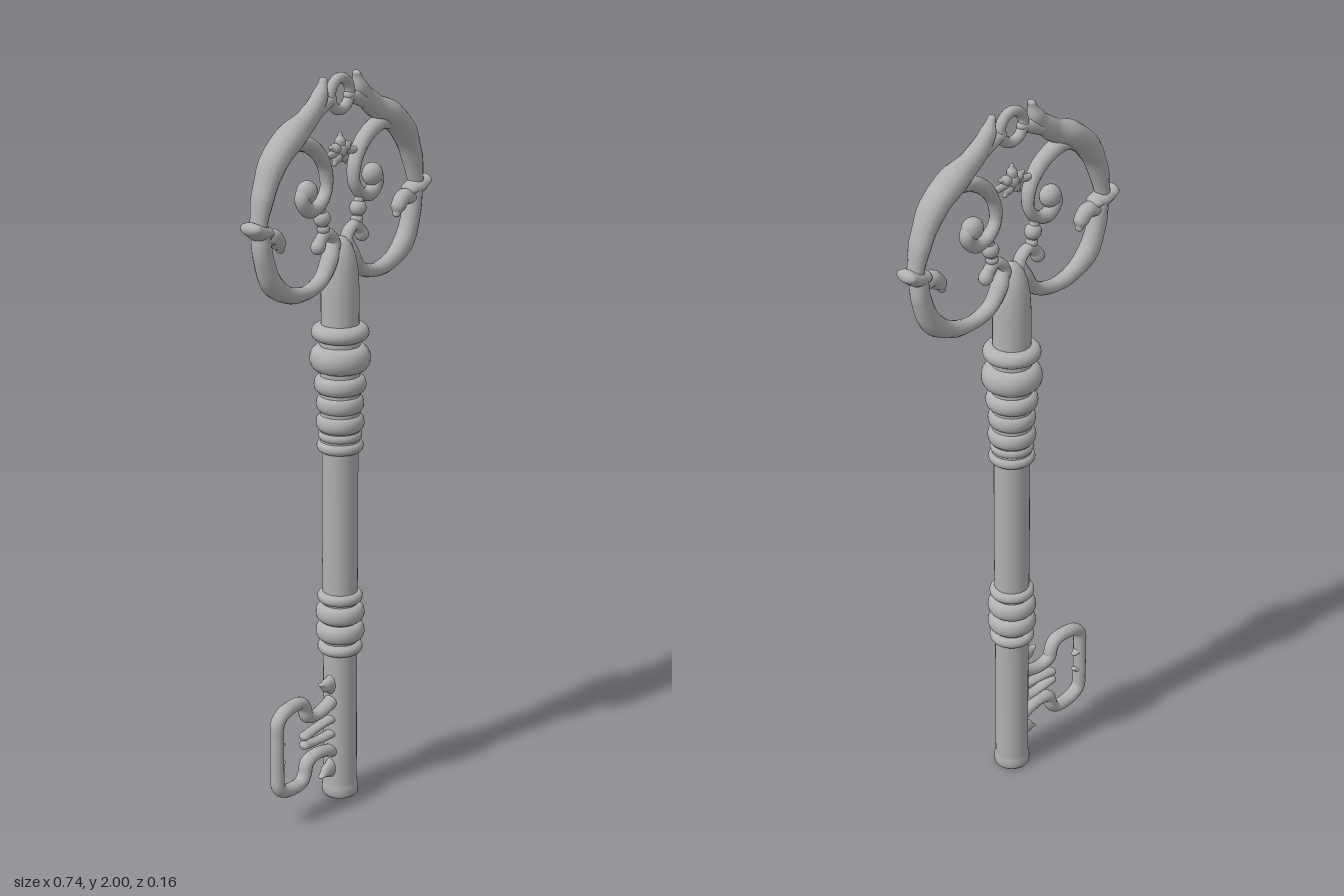
import * as THREE from 'three';

const metal = new THREE.MeshStandardMaterial({ color: 0xb0b0b0 });
metal.name = 'grey metal';

function add(parent, geometry, name) {
  const mesh = new THREE.Mesh(geometry, metal);
  mesh.name = name;
  parent.add(mesh);
  return mesh;
}

// Sweeps an ellipse along a planar curve; each point is [x, y, half width, half depth].
function sweep(points, mirror = 1, steps = 8, sides = 14) {
  const curve = new THREE.CatmullRomCurve3(points.map(p => new THREE.Vector3(p[0] * mirror, p[1], 0)), false, 'centripetal');
  const n = (points.length - 1) * steps;
  const pos = [], idx = [];
  const ring = (c, t, w, d) => {
    for (let j = 0; j < sides; j++) {
      const a = j / sides * Math.PI * 2;
      pos.push(c.x - t.y * Math.cos(a) * w, c.y + t.x * Math.cos(a) * w, Math.sin(a) * d);
    }
  };
  let rings = 0;
  const cap = (c, t, w, d, dir) => {
    for (let k = 0; k < 5; k++) {
      const a = (dir < 0 ? 5 - k : k + 1) / 5 * Math.PI / 2;
      ring(c.clone().addScaledVector(t, dir * Math.sin(a) * w), t, w * Math.cos(a), d * Math.cos(a));
      rings++;
    }
  };
  for (let i = 0; i <= n; i++) {
    const u = i / n, k = Math.min(Math.floor(i / steps), points.length - 2);
    let f = i / steps - k;
    f = f * f * (3 - 2 * f);
    const w = points[k][2] + (points[k + 1][2] - points[k][2]) * f;
    const d0 = points[k][3] ?? points[k][2], d1 = points[k + 1][3] ?? points[k + 1][2];
    const d = d0 + (d1 - d0) * f;
    const c = curve.getPoint(u), t = curve.getTangent(u);
    if (i === 0) cap(c, t, w, d, -1);
    ring(c, t, w, d);
    rings++;
    if (i === n) cap(c, t, w, d, 1);
  }
  for (let i = 0; i < rings - 1; i++) for (let j = 0; j < sides; j++) {
    const a = i * sides + j, b = i * sides + (j + 1) % sides;
    idx.push(a, b, a + sides, b, b + sides, a + sides);
  }
  const g = new THREE.BufferGeometry();
  g.setAttribute('position', new THREE.Float32BufferAttribute(pos, 3));
  g.setIndex(idx);
  g.computeVertexNormals();
  return g;
}

function ball(parent, x, y, rx, ry, rz, name) {
  const m = add(parent, new THREE.SphereGeometry(1, 18, 12), name);
  m.position.set(x, y, 0);
  m.scale.set(rx, ry, rz);
}

function createShaft() {
  const shaft = new THREE.Group();
  shaft.name = 'shaft';
  const profile = [[0, 0], [0.044, 0], [0.049, 0.006], [0.05, 0.02], [0.049, 0.034], [0.046, 0.04], [0.046, 0.42],
    [0.048, 0.7], [0.048, 1.0], [0.053, 1.02], [0.053, 1.3], [0.05, 1.35], [0.05, 1.44], [0.047, 1.49],
    [0.04, 1.53], [0.028, 1.56], [0.014, 1.575], [0, 1.58]];
  // repeated points keep the foot edge crisp
  const pts = profile.map(p => new THREE.Vector2(p[0], p[1]));
  add(shaft, new THREE.LatheGeometry(pts, 32), 'rod');

  // turned collars: height, radius, half height
  const beads = [[1.325, 0.076, 0.023], [1.255, 0.08, 0.036], [1.185, 0.069, 0.025], [1.132, 0.063, 0.024],
    [1.08, 0.064, 0.024], [1.015, 0.062, 0.016], [1.045, 0.058, 0.014],
    [0.588, 0.061, 0.016], [0.542, 0.066, 0.026], [0.488, 0.066, 0.026], [0.441, 0.061, 0.016]];
  for (const [y, r, h] of beads) {
    const p = [];
    for (let i = 0; i <= 12; i++) {
      const a = (i / 12 - 0.5) * Math.PI;
      p.push(new THREE.Vector2(0.04 + (r - 0.04) * Math.pow(Math.cos(a), 0.7), y + h * Math.sin(a)));
    }
    p[0].x = p[12].x = 0.04;
    add(shaft, new THREE.LatheGeometry(p, 32), 'collar');
  }
  return shaft;
}

function createBow() {
  const bow = new THREE.Group();
  bow.name = 'bow';
  for (const s of [1, -1]) {
    const side = new THREE.Group();
    side.name = s > 0 ? 'leftScrollwork' : 'rightScrollwork';
    bow.add(side);
    // swelling upper band, from the peak to the shoulder knob
    add(side, sweep([[0.068, 1.985, 0.009, 0.012], [0.085, 1.945, 0.022, 0.022], [0.135, 1.898, 0.03, 0.027],
      [0.205, 1.862, 0.036, 0.04], [0.265, 1.815, 0.033, 0.038], [0.305, 1.745, 0.026, 0.032],
      [0.328, 1.665, 0.019, 0.024]], s), 'upperBand');
    // link from the band to the hanging ring
    add(side, sweep([[0.035, 1.935, 0.013, 0.015], [0.065, 1.925, 0.018, 0.018], [0.11, 1.91, 0.022, 0.022]], s), 'ringLink');
    // shoulder knob
    add(side, sweep([[0.3, 1.646, 0.016, 0.026], [0.33, 1.652, 0.022, 0.032], [0.355, 1.664, 0.017, 0.032]], s), 'shoulderKnob');
    // lower band running into the shaft
    add(side, sweep([[0.318, 1.65, 0.02, 0.028], [0.31, 1.585, 0.026, 0.026], [0.277, 1.51, 0.029, 0.027],
      [0.21, 1.467, 0.022, 0.022], [0.14, 1.459, 0.018, 0.02], [0.08, 1.479, 0.018, 0.022],
      [0.045, 1.525, 0.02, 0.025], [0.026, 1.57, 0.014, 0.018]], s), 'lowerBand');
    // leaf on the inside of the lower band
    add(side, sweep([[0.305, 1.625, 0.02, 0.022], [0.272, 1.63, 0.021, 0.022], [0.25, 1.608, 0.02, 0.02],
      [0.243, 1.59, 0.009, 0.012]], s), 'leaf');
    // inner scroll curling to a ball
    add(side, sweep([[0.235, 1.838, 0.02, 0.026], [0.165, 1.845, 0.021, 0.024], [0.1, 1.815, 0.02, 0.022],
      [0.062, 1.762, 0.016, 0.02], [0.058, 1.71, 0.014, 0.018], [0.085, 1.675, 0.016, 0.018],
      [0.128, 1.668, 0.02, 0.02], [0.155, 1.698, 0.019, 0.02], [0.145, 1.722, 0.018, 0.02]], s), 'scroll');
    ball(side, s * 0.136, 1.716, 0.031, 0.03, 0.026, 'scrollEnd');
    // bead chain and little curl joining the scroll to the stem
    ball(side, s * 0.075, 1.638, 0.023, 0.022, 0.022, 'bead');
    ball(side, s * 0.07, 1.61, 0.016, 0.014, 0.017, 'bead');
    add(side, sweep([[0.082, 1.668, 0.013], [0.075, 1.64, 0.014], [0.07, 1.6, 0.013]], s), 'beadPin');
    add(side, sweep([[0.02, 1.545, 0.016, 0.02], [0.033, 1.582, 0.014, 0.018], [0.06, 1.597, 0.015, 0.016],
      [0.08, 1.583, 0.016], [0.092, 1.566, 0.019]], s), 'curl');
  }
  // hanging ring
  const ring = add(bow, new THREE.TorusGeometry(0.04, 0.014, 14, 32), 'hangingRing');
  ring.position.set(0, 1.943, 0);

  // five-petalled flower between the scrolls
  const flower = new THREE.Group();
  flower.name = 'flower';
  bow.add(flower);
  ball(flower, 0, 1.8, 0.02, 0.02, 0.018, 'flowerCentre');
  for (let i = 0; i < 5; i++) {
    const a = Math.PI / 2 + i * Math.PI * 2 / 5, c = Math.cos(a), q = Math.sin(a);
    add(flower, sweep([[0, 1.8, 0.013], [c * 0.024, 1.8 + q * 0.024, 0.014], [c * 0.04, 1.8 + q * 0.04, 0.006]]), 'petal');
  }
  add(flower, sweep([[-0.075, 1.79, 0.009], [0, 1.796, 0.01], [0.075, 1.79, 0.009]]), 'flowerBar');
  return bow;
}

function createBit() {
  const bit = new THREE.Group();
  bit.name = 'bit';
  const mid = 0.216;
  // half outline, mirrored about the middle line
  const half = [[-0.03, 0.078, 0.019], [-0.07, 0.064, 0.016], [-0.115, 0.058, 0.015], [-0.148, 0.07, 0.018],
    [-0.158, 0.1, 0.018], [-0.175, 0.118, 0.017], [-0.245, 0.115, 0.018], [-0.27, 0.095, 0.018], [-0.274, 0.05, 0.017]];
  const upper = half.map(([x, y, w]) => [x, mid + y, w, 0.02]);
  const lower = half.map(([x, y, w]) => [x, mid - y, w, 0.02]).reverse();
  add(bit, sweep([...upper, ...lower]), 'frame');
  for (const s of [1, -1]) {
    add(bit, sweep([[-0.03, mid + s * 0.022, 0.012, 0.016], [-0.1, mid + s * 0.02, 0.01, 0.016],
      [-0.158, mid + s * 0.013, 0.012, 0.016]]), 'tongue');
    add(bit, sweep([[-0.27, mid + s * 0.035, 0.014, 0.018], [-0.25, mid + s * 0.026, 0.005, 0.009]]), 'frameCusp');
    // thorn where the bit meets the shaft
    add(bit, sweep([[-0.03, mid + s * 0.125, 0.038, 0.018], [-0.06, mid + s * 0.128, 0.02, 0.015],
      [-0.086, mid + s * 0.138, 0.005, 0.009]]), 'thorn');
  }
  return bit;
}

export function createModel() {
  const key = new THREE.Group();
  key.name = 'ornateKey';
  key.add(createShaft(), createBow(), createBit());
  return key;
}
